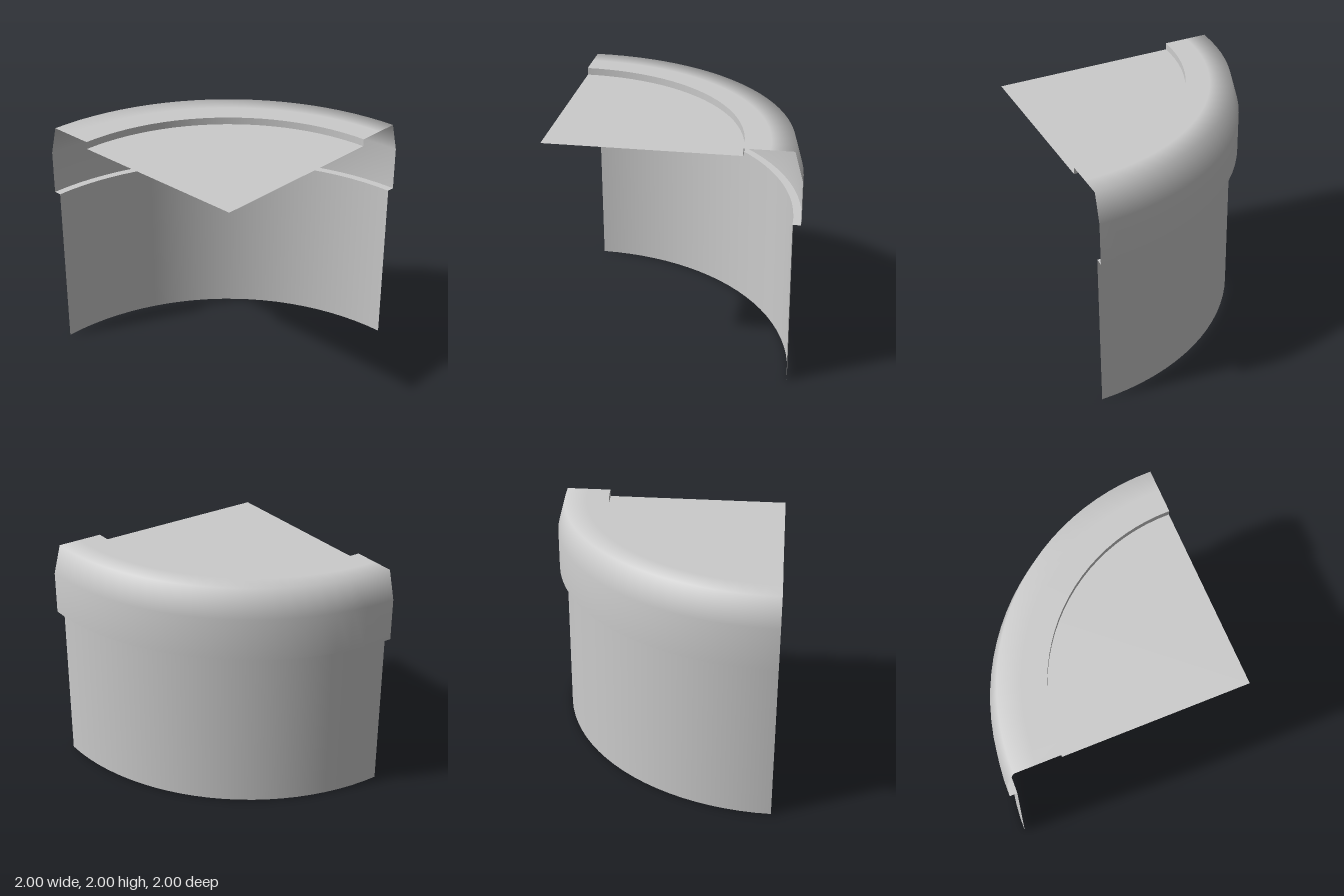
import * as THREE from 'three';

const material = new THREE.MeshStandardMaterial({ color: 0xcccccc, side: THREE.DoubleSide });

// Quarter turn of a [radius, height] profile; normals are smooth within one profile
function quarterTurn(name, profile) {
  const points = profile.map(([r, y]) => new THREE.Vector2(r, y));
  const mesh = new THREE.Mesh(new THREE.LatheGeometry(points, 24, Math.PI, Math.PI / 2), material);
  mesh.name = name;
  mesh.position.set(1, 0, 1); // axis at the front left corner
  return mesh;
}

export function createModel() {
  const group = new THREE.Group();
  group.name = 'quarterRoundCorner';
  group.add(
    // Thin curved wall
    quarterTurn('wall', [[1.935, 0], [1.935, 1.4]]),
    // Underside of the overhanging rim
    quarterTurn('rimLedge', [[1.935, 1.4], [2, 1.4]]),
    // Rim band with softened bevel and flat top
    quarterTurn('rim', [[2, 1.4], [2, 1.76], [1.935, 2], [1.75, 2], [1.55, 2]]),
    // Step down to the recessed top
    quarterTurn('step', [[1.55, 2], [1.55, 1.94]]),
    quarterTurn('topPanel', [[1.55, 1.94], [0, 1.94]])
  );
  return group;
}
